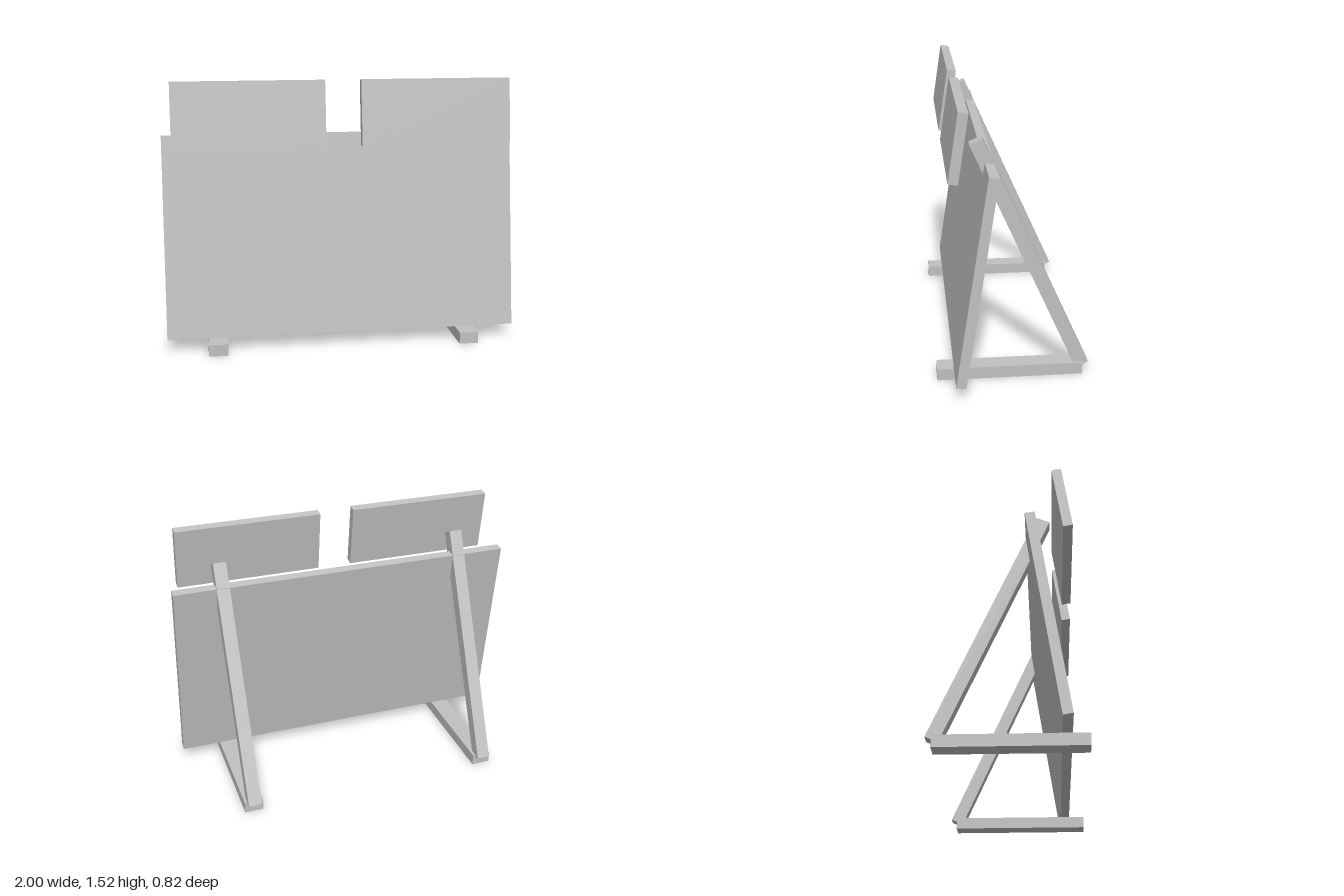
import * as THREE from 'three';

export function createModel() {
  const group = new THREE.Group();
  const grey = new THREE.MeshStandardMaterial({ color: 0xc0c0c0 });
  grey.name = 'light grey';

  // Box centred at (x, y, z), tilted about the x axis
  const addBoard = (name, [w, h, d], [x, y, z], tilt = 0) => {
    const mesh = new THREE.Mesh(new THREE.BoxGeometry(w, h, d), grey);
    mesh.name = name;
    mesh.position.set(x, y, z);
    mesh.rotation.x = tilt;
    group.add(mesh);
  };

  const lean = -0.152;

  // Large leaning panel
  addBoard('mainPanel', [2, 1.146, 0.053], [0, 0.638, 0.211], lean);

  for (const [side, s] of [['left', 1], ['right', -1]]) {
    // Small panel floating in front of the top edge
    addBoard(side + 'UpperPanel', [0.842, 0.362, 0.052], [s * 0.521, 1.335, 0.295], lean);
    // Rear strut and ground foot
    addBoard(side + 'Strut', [0.075, 1.392, 0.075], [s * 0.718, 0.682, -0.091], 0.4205);
    addBoard(side + 'Foot', [0.108, 0.066, 0.789], [s * 0.718, 0.033, 0.0185]);
  }
  return group;
}
